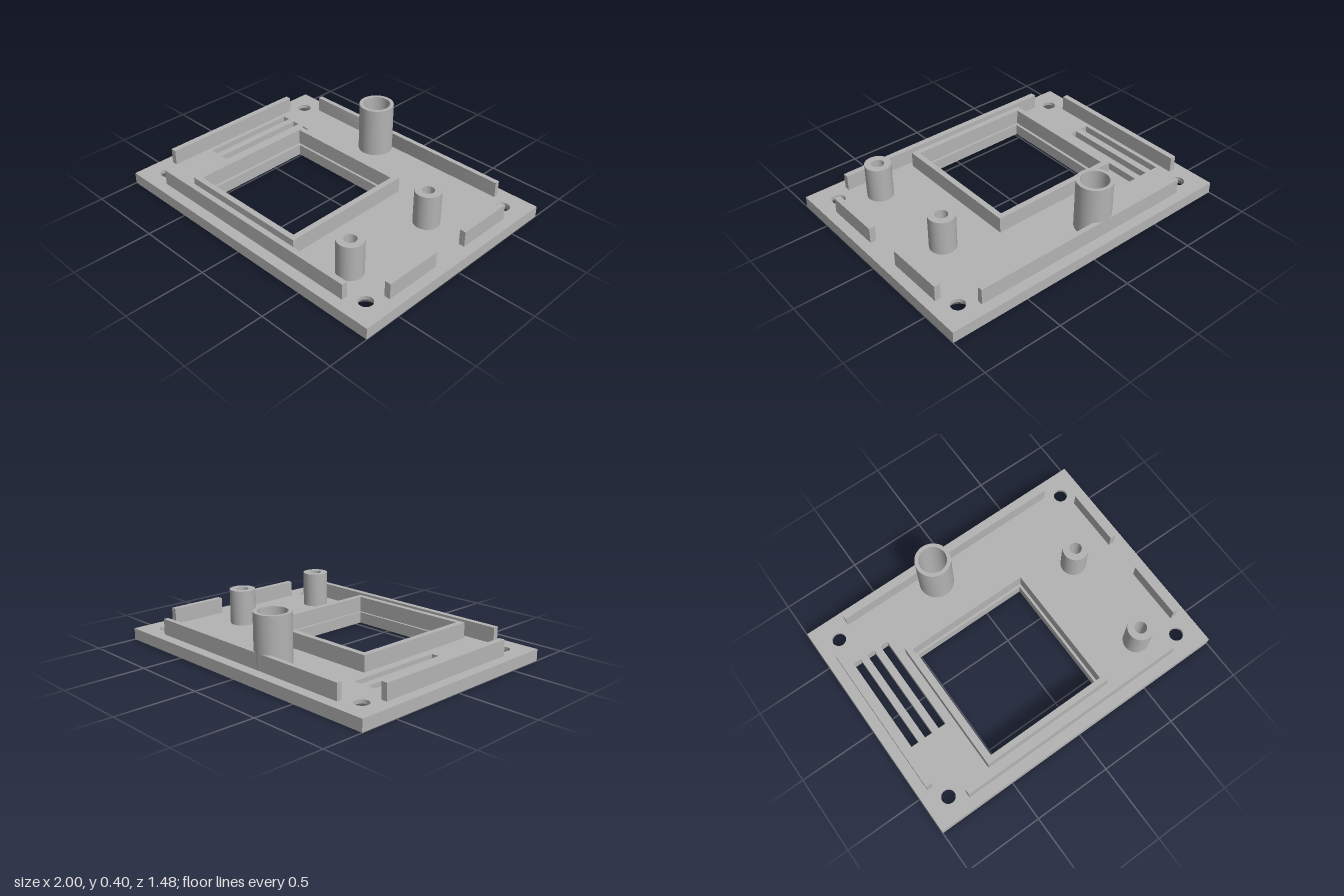
import * as THREE from 'three';
import { toCreasedNormals } from 'three/addons/utils/BufferGeometryUtils.js';

const PLATE = 0.073; // plate thickness
const RAIL = 0.173; // top of rails and window frame
const TUBE = { x: -0.147, z: -0.567, inner: 0.086, outer: 0.11 };

export function createModel() {
  const model = new THREE.Group();
  model.name = 'panel';
  const grey = new THREE.MeshStandardMaterial({ color: 0xb3b3b3 });
  grey.name = 'grey';

  const add = (name, geometry, x = 0, y = 0, z = 0) => {
    const mesh = new THREE.Mesh(toCreasedNormals(geometry, 0.5), grey);
    mesh.name = name;
    mesh.position.set(x, y, z);
    model.add(mesh);
  };

  // Plan outlines: shape y is -z, extruded upwards
  const rect = (path, x0, x1, z0, z1) => {
    path.moveTo(x0, -z1);
    path.lineTo(x1, -z1);
    path.lineTo(x1, -z0);
    path.lineTo(x0, -z0);
    path.closePath();
    return path;
  };
  const circle = (x, z, r) => new THREE.Path().absarc(x, -z, r, 0, Math.PI * 2, true);
  const extrude = (shape, height) =>
    new THREE.ExtrudeGeometry(shape, { depth: height, bevelEnabled: false, curveSegments: 24 })
      .rotateX(-Math.PI / 2);
  const lathe = (points) =>
    new THREE.LatheGeometry(points.map(([r, y]) => new THREE.Vector2(r, y)), 48);

  // Base plate with window, vent slots, screw holes and tube bore
  const screws = [];
  for (const x of [-0.857, 0.857]) for (const z of [-0.597, 0.597]) screws.push([x, z]);
  const plate = rect(new THREE.Shape(), -1, 1, -0.742, 0.742);
  plate.holes.push(rect(new THREE.Path(), -0.514, 0.257, -0.227, 0.545));
  for (let i = 0; i < 3; i++) {
    const x = -0.868 + i * 0.097;
    plate.holes.push(rect(new THREE.Path(), x, x + 0.05, -0.41, 0.228));
  }
  for (const [x, z] of screws) plate.holes.push(circle(x, z, 0.083));
  plate.holes.push(circle(TUBE.x, TUBE.z, TUBE.inner));
  add('plate', extrude(plate, PLATE));

  // Countersunk rings set into the screw holes
  for (const [x, z] of screws) {
    add('countersink', lathe([[0.083, 0], [0.083, PLATE], [0.043, PLATE], [0.043, 0.05], [0.083, 0]]), x, 0, z);
  }

  // Raised frame around the window, set back to leave a small ledge
  const frame = rect(new THREE.Shape(), -0.57, 0.31, -0.28, 0.598);
  frame.holes.push(rect(new THREE.Path(), -0.533, 0.273, -0.243, 0.561));
  add('windowFrame', extrude(frame, RAIL - PLATE), 0, PLATE, 0);

  // Straight edge rails
  const rail = (name, x0, x1, z0, z1) =>
    add(name, extrude(rect(new THREE.Shape(), x0, x1, z0, z1), RAIL - PLATE), 0, PLATE, 0);
  rail('frontRail', -0.76, 0.76, 0.637, 0.674);
  rail('rightRail', -0.935, -0.897, -0.498, 0.496);
  rail('leftRailBack', 0.895, 0.933, -0.498, -0.127);
  rail('leftRailFront', 0.895, 0.933, 0.122, 0.496);

  // Back rail, relieved where it meets the tube so the bore stays clear
  const biteRadius = 0.09;
  const bite = Math.acos((-TUBE.z * -1 + 0.645) / biteRadius);
  const back = new THREE.Shape();
  back.moveTo(-0.76, 0.676);
  back.lineTo(-0.76, 0.645);
  back.absarc(TUBE.x, -TUBE.z, biteRadius, Math.PI / 2 + bite, Math.PI / 2 - bite, true);
  back.lineTo(0.76, 0.645);
  back.lineTo(0.76, 0.676);
  back.closePath();
  add('backRail', extrude(back, RAIL - PLATE), 0, PLATE, 0);

  // Hollow posts: the tall through tube and two blind screw bosses
  const post = (name, x, z, outer, inner, top) =>
    add(name, lathe([[outer, PLATE], [outer, top], [inner, top], [inner, PLATE]]), x, 0, z);
  post('tube', TUBE.x, TUBE.z, TUBE.outer, TUBE.inner, 0.396);
  for (const z of [-0.16, 0.48]) post('screwBoss', 0.63, z, 0.081, 0.038, 0.296);

  return model;
}
